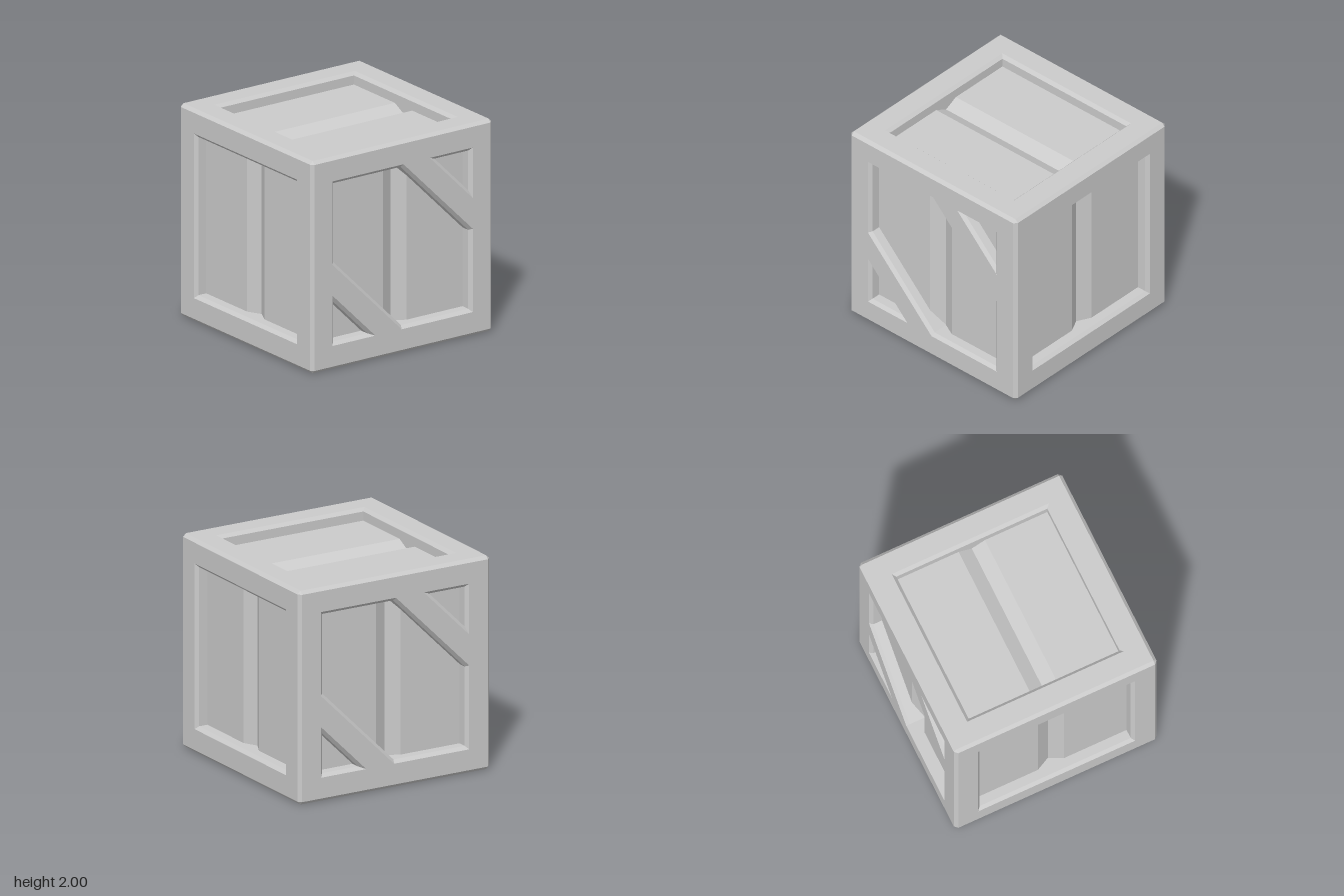
import * as THREE from 'three';
import { mergeGeometries } from 'three/addons/utils/BufferGeometryUtils.js';

const BEVEL = 0.03, RIM = 0.775, FLAT = 1 - BEVEL;
const PANEL_Z = 0.885, GROOVE_Z = 0.82, WALL_END = 0.81;

const material = new THREE.MeshStandardMaterial({ color: 0xcccccc, flatShading: true });

// Geometry from a list of quads, corners counter-clockwise
function fromQuads(quads) {
  const pos = quads.flatMap(([a, b, c, d]) => [a, b, c, a, c, d].flat());
  const g = new THREE.BufferGeometry();
  g.setAttribute('position', new THREE.Float32BufferAttribute(pos, 3));
  g.computeVertexNormals();
  return g;
}

// Convex counter-clockwise outline moved inward by d, with mitred corners
function inset(points, d) {
  const n = points.length;
  const normal = (a, b) => new THREE.Vector2(a.y - b.y, b.x - a.x).normalize();
  return points.map((p, i) => {
    const n0 = normal(points[(i + n - 1) % n], p);
    const n1 = normal(p, points[(i + 1) % n]);
    return n0.clone().add(n1).multiplyScalar(d / (1 + n0.dot(n1))).add(p);
  });
}

// Flat frame face with openings, plus a bevel and a wall inside each opening
function frameGeometry(openings) {
  const shape = new THREE.Shape([[-1, -1], [1, -1], [1, 1], [-1, 1]]
    .map(([x, y]) => new THREE.Vector2(x * FLAT, y * FLAT)));
  const quads = [];
  for (const outline of openings) {
    shape.holes.push(new THREE.Path(outline));
    const inner = inset(outline, BEVEL);
    const rings = [[outline, 1], [inner, FLAT], [inner, WALL_END]]
      .map(([pts, z]) => pts.map((p) => [p.x, p.y, z]));
    for (let r = 0; r < 2; r++) {
      outline.forEach((_, i) => {
        const j = (i + 1) % outline.length;
        quads.push([rings[r][i], rings[r][j], rings[r + 1][j], rings[r + 1][i]]);
      });
    }
  }
  const face = new THREE.ShapeGeometry(shape).translate(0, 0, 1).toNonIndexed();
  face.deleteAttribute('uv');
  return mergeGeometries([face, fromQuads(quads)]);
}

// Recessed panel with a V groove down the middle
function panelGeometry() {
  const h = RIM - BEVEL;
  const profile = [[-h, PANEL_Z], [-0.13, PANEL_Z], [0, GROOVE_Z], [0.13, PANEL_Z], [h, PANEL_Z]];
  return fromQuads(profile.slice(1).map(([x1, z1], i) => {
    const [x0, z0] = profile[i];
    return [[x0, -h, z0], [x1, -h, z1], [x1, h, z1], [x0, h, z0]];
  }));
}

// Chamfer strips on the twelve edges and triangles on the eight corners
function chamferGeometry() {
  const strip = fromQuads([[[1, FLAT, -FLAT], [FLAT, 1, -FLAT], [FLAT, 1, FLAT], [1, FLAT, FLAT]]]);
  const corner = new THREE.BufferGeometry();
  corner.setAttribute('position', new THREE.Float32BufferAttribute(
    [1, FLAT, FLAT, FLAT, 1, FLAT, FLAT, FLAT, 1], 3));
  corner.computeVertexNormals();
  const parts = [];
  for (let i = 0; i < 4; i++) {
    const turn = i * Math.PI / 2;
    parts.push(strip.clone().rotateZ(turn));
    parts.push(strip.clone().rotateZ(turn).rotateX(Math.PI / 2));
    parts.push(strip.clone().rotateZ(turn).rotateY(Math.PI / 2));
    parts.push(corner.clone().rotateZ(turn));
    parts.push(corner.clone().rotateZ(turn).rotateX(Math.PI));
  }
  return mergeGeometries(parts);
}

export function createModel() {
  const model = new THREE.Group();
  model.name = 'crate';
  const body = new THREE.Group();
  body.name = 'crateBody';
  body.position.y = 1;
  model.add(body);

  const outline = (pts) => pts.map(([x, y]) => new THREE.Vector2(x, y));
  const R = RIM;

  // One square opening, or three openings left around a diagonal brace
  const plain = frameGeometry([outline([[-R, -R], [R, -R], [R, R], [-R, R]])]);
  const braced = frameGeometry([
    outline([[-R, 0], [0, -R], [R, -R], [R, 0.01], [0.01, R], [-R, R]]
      .map(([x, y]) => [x === 0 ? -0.01 : x, y === 0 ? -0.01 : y])),
    outline([[0.3, R], [R, 0.3], [R, R]]),
    outline([[-0.3, -R], [-R, -0.3], [-R, -R]]),
  ]);
  const panel = panelGeometry();

  const q = Math.PI / 2;
  const sides = [
    { name: 'front', rot: [0, 0], frame: braced },
    { name: 'back', rot: [0, 2 * q], frame: braced },
    { name: 'left', rot: [0, q], frame: plain },
    { name: 'right', rot: [0, -q], frame: plain },
    { name: 'top', rot: [-q, 0], frame: plain, across: true },
    { name: 'bottom', rot: [q, 0], frame: plain, across: true },
  ];
  for (const { name, rot, frame, across } of sides) {
    const side = new THREE.Group();
    side.name = name + 'Side';
    side.rotation.set(rot[0], rot[1], 0);
    const frameMesh = new THREE.Mesh(frame, material);
    frameMesh.name = name + 'Frame';
    const panelMesh = new THREE.Mesh(panel, material);
    panelMesh.name = name + 'Panel';
    if (across) panelMesh.rotation.z = q;
    side.add(frameMesh, panelMesh);
    body.add(side);
  }

  const chamfers = new THREE.Mesh(chamferGeometry(), material);
  chamfers.name = 'edgeChamfers';
  body.add(chamfers);
  return model;
}
